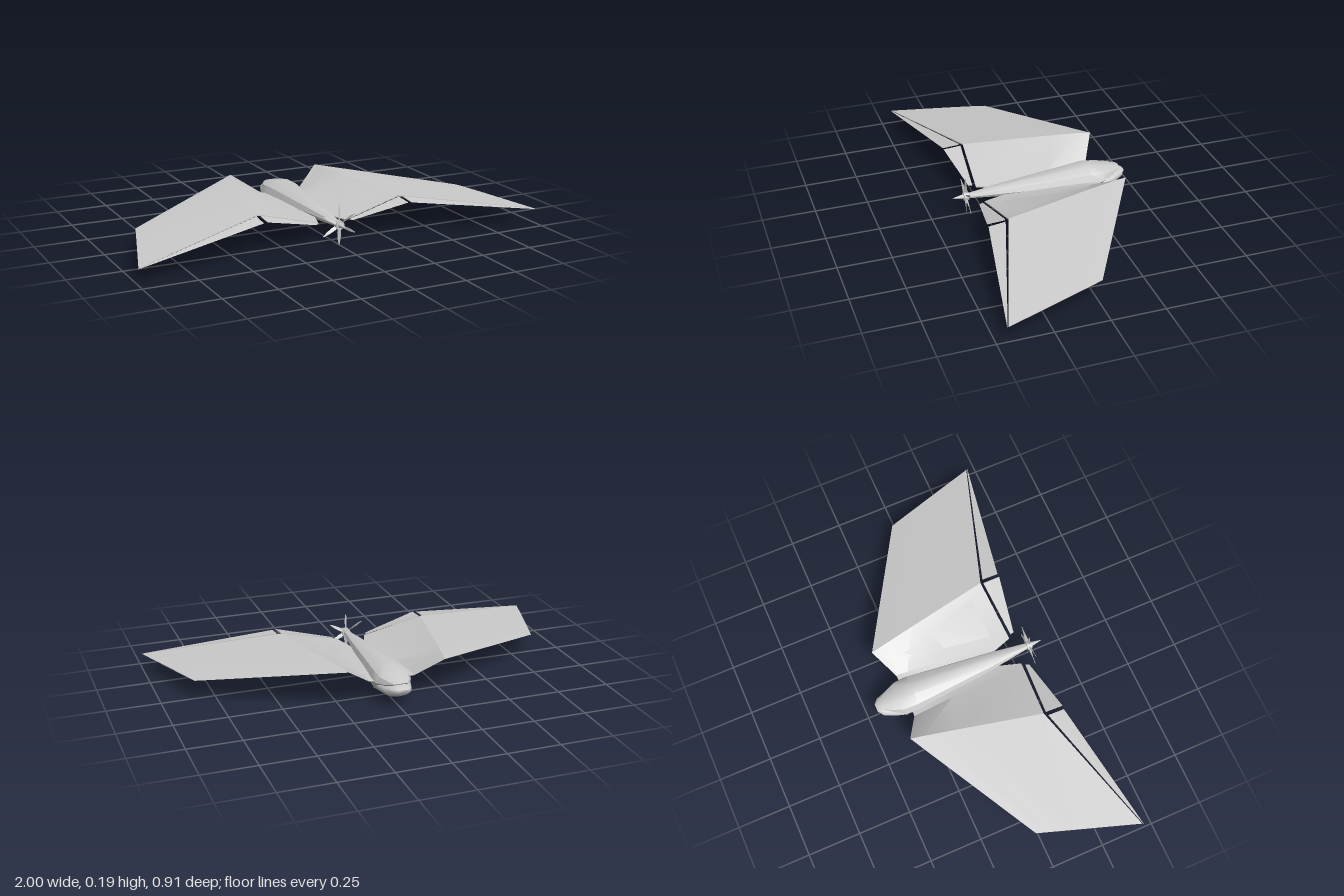
import * as THREE from 'three';
import { toCreasedNormals } from 'three/addons/utils/BufferGeometryUtils.js';

const material = new THREE.MeshStandardMaterial({ color: 0xcccccc, side: THREE.DoubleSide });

// Skin a closed solid over a row of equal-length rings of [x, y, z]
function loft(rings, crease = 0.5) {
  const n = rings[0].length, index = [];
  for (let i = 0; i < rings.length - 1; i++) {
    for (let j = 0; j < n; j++) {
      const k = (j + 1) % n, a = i * n + j, b = i * n + k, c = b + n, d = a + n;
      index.push(a, b, c, a, c, d);
    }
  }
  const last = (rings.length - 1) * n;
  for (let j = 1; j < n - 1; j++) {
    index.push(0, j + 1, j, last, last + j, last + j + 1);
  }
  const geometry = new THREE.BufferGeometry();
  geometry.setAttribute('position', new THREE.Float32BufferAttribute(rings.flat(2), 3));
  geometry.setIndex(index);
  return toCreasedNormals(geometry, crease);
}

function add(parent, geometry, name) {
  const mesh = new THREE.Mesh(geometry, material);
  mesh.name = name;
  parent.add(mesh);
  return mesh;
}

// Oval hull ring whose top and bottom may sit at different z
function hullRing([zTop, yTop, zBottom, yBottom, half], sides) {
  return Array.from({ length: sides }, (_, i) => {
    const a = (i / sides) * Math.PI * 2, t = (Math.sin(a) + 1) / 2;
    return [half * Math.cos(a), yBottom + (yTop - yBottom) * t, zBottom + (zTop - zBottom) * t];
  });
}

// Wing section between a leading and a trailing point; profile is [chord fraction, height]
function wingRing([lead, trail, thick], profile, side) {
  const ring = profile.map(([f, h]) => [
    side * (lead[0] + (trail[0] - lead[0]) * f),
    lead[1] + (trail[1] - lead[1]) * f + h * thick,
    lead[2] + (trail[2] - lead[2]) * f,
  ]);
  return side > 0 ? ring : ring.reverse();
}

const AIRFOIL = [[0, 0], [0.1, 0.35], [0.35, 0.5], [1, 0.25], [1, -0.25], [0.35, -0.5], [0.1, -0.35]];
const FLAP = [[0, 0.5], [1, 0], [0, -0.5]];

// Gull wing stations: root, fuselage side, crest, tip
const WING = [
  [[0.03, 0.093, -0.3], [0.03, 0.086, 0.14], 0.01],
  [[0.11, 0.1, -0.307], [0.07, 0.09, 0.262], 0.012],
  [[0.23, 0.188, -0.375], [0.36, 0.163, 0.24], 0.012],
  [[0.845, 0.096, -0.02], [0.995, 0.071, 0.446], 0.004],
];
const INNER_FLAP = [
  [[0.085, 0.094, 0.276], [0.09, 0.094, 0.294], 0.006],
  [[0.355, 0.16, 0.253], [0.358, 0.155, 0.338], 0.006],
];
const OUTER_FLAP = [
  [[0.375, 0.16, 0.257], [0.375, 0.153, 0.337], 0.006],
  [[0.985, 0.072, 0.447], [1, 0.07, 0.453], 0.002],
];

export function createModel() {
  const model = new THREE.Group();
  model.name = 'flyingWing';

  // Tapering body with a slanted front
  const body = [
    [-0.432, 0.124, -0.405, 0.108, 0.035],
    [-0.4, 0.135, -0.36, 0.075, 0.06],
    [-0.345, 0.148, -0.31, 0.045, 0.085],
    [-0.27, 0.164, -0.27, 0.018, 0.09],
    [0.15, 0.125, 0.15, 0.067, 0.04],
    [0.32, 0.107, 0.32, 0.082, 0.015],
  ];
  add(model, loft(body.map((s) => hullRing(s, 10)), 0.6), 'fuselage');

  // Rounded pod under the front
  const pod = [
    [-0.455, 0.102, -0.455, 0.093, 0.02],
    [-0.435, 0.112, -0.435, 0.067, 0.045],
    [-0.385, 0.112, -0.385, 0.042, 0.065],
    [-0.33, 0.115, -0.33, 0.04, 0.082],
    [-0.25, 0.11, -0.25, 0.045, 0.07],
  ];
  add(model, loft(pod.map((s) => hullRing(s, 16)), 0.9), 'nosePod');

  // Wings and hinged trailing surfaces
  for (const side of [1, -1]) {
    const label = side > 0 ? 'left' : 'right';
    const build = (stations, profile, name) =>
      add(model, loft(stations.map((s) => wingRing(s, profile, side)), 0.35), label + name);
    build(WING, AIRFOIL, 'Wing');
    build(INNER_FLAP, FLAP, 'InnerFlap');
    build(OUTER_FLAP, FLAP, 'OuterFlap');
  }

  // Six-bladed propeller with hub and spinner
  const propeller = new THREE.Group();
  propeller.name = 'propeller';
  propeller.position.set(0, 0.094, 0.332);
  model.add(propeller);
  add(propeller, new THREE.CylinderGeometry(0.021, 0.021, 0.024, 16).rotateX(Math.PI / 2), 'hub');
  add(propeller, new THREE.ConeGeometry(0.012, 0.06, 16).rotateX(Math.PI / 2).translate(0, 0, 0.04), 'spinner');

  // Blade narrows and untwists toward its tip
  const bladeRings = [[0.01, 0.008, 0.9], [0.035, 0.009, 0.7], [0.065, 0.007, 0.4], [0.094, 0.002, 0.2]]
    .map(([r, half, twist]) => [[-1, 0], [0, 0.0015], [1, 0], [0, -0.0015]].map(([u, v]) => [
      u * half * Math.cos(twist) - v * Math.sin(twist),
      r,
      -(u * half * Math.sin(twist) + v * Math.cos(twist)),
    ]).reverse());
  const blade = loft(bladeRings);
  for (let i = 0; i < 6; i++) {
    add(propeller, blade, 'blade').rotation.z = (i * Math.PI) / 3;
  }
  return model;
}
